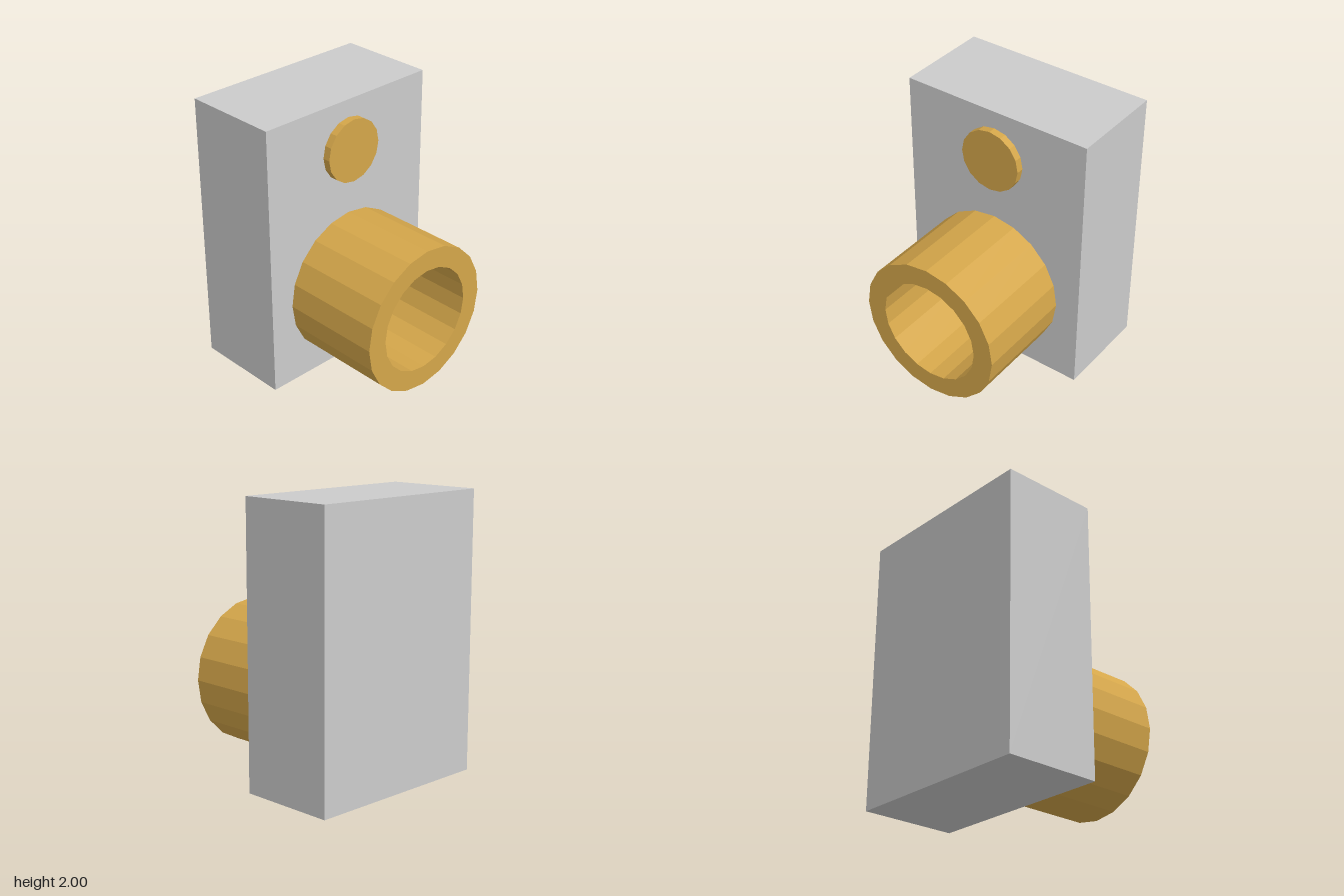
import * as THREE from 'three';

const FRONT = -0.015; // z of the cabinet's front face

// Regular polygon outline with a corner at the top
function ring(radius, sides) {
  return Array.from({ length: sides }, (_, i) => {
    const a = Math.PI / 2 + (i / sides) * Math.PI * 2;
    return new THREE.Vector2(Math.cos(a) * radius, Math.sin(a) * radius);
  });
}

// Faceted disc or tube standing out from the front face
function boss(name, y, sides, outer, inner, depth, material) {
  const shape = new THREE.Shape(ring(outer, sides));
  if (inner > 0) shape.holes.push(new THREE.Path(ring(inner, sides)));
  const geometry = new THREE.ExtrudeGeometry(shape, { depth, bevelEnabled: false });
  const mesh = new THREE.Mesh(geometry, material);
  mesh.name = name;
  mesh.position.set(0, y, FRONT);
  return mesh;
}

export function createModel() {
  const group = new THREE.Group();
  group.name = 'boxWithTube';
  const grey = new THREE.MeshStandardMaterial({ color: 0xcccccc, flatShading: true });
  const gold = new THREE.MeshStandardMaterial({ color: 0xd4a64a, flatShading: true });

  // Main block
  const depth = 0.715;
  const body = new THREE.Mesh(new THREE.BoxGeometry(1.434, 2, depth), grey);
  body.name = 'body';
  body.position.set(0, 1, FRONT - depth / 2);
  group.add(body);

  // Large open tube below, small solid button above
  group.add(boss('tube', 0.617, 20, 0.537, 0.386, 0.745, gold));
  group.add(boss('button', 1.643, 16, 0.23, 0, 0.055, gold));
  return group;
}
